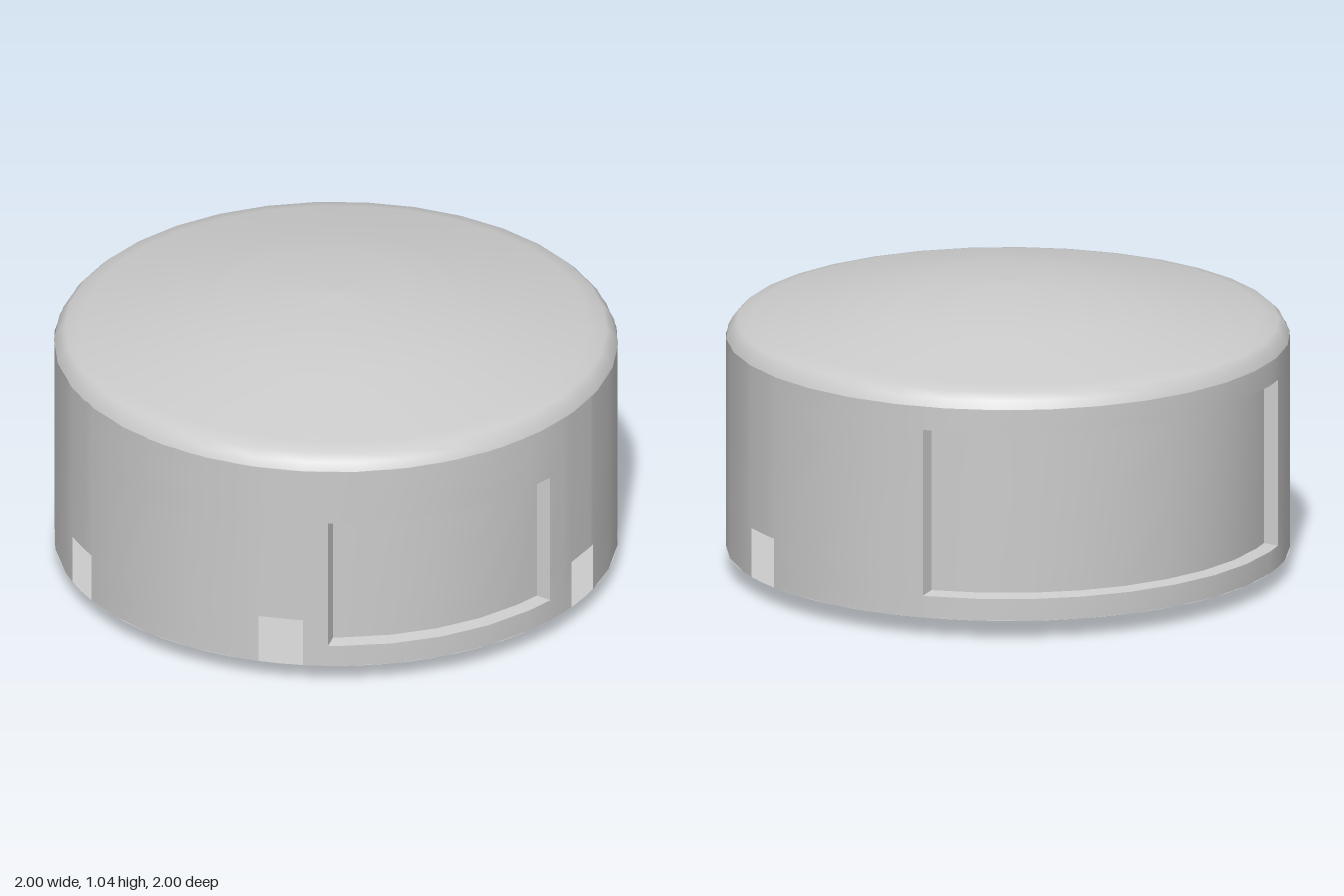
import * as THREE from 'three';
import { toCreasedNormals } from 'three/addons/utils/BufferGeometryUtils.js';

const RAD = Math.PI / 180;
const BASE = 0.07, RIM = 0.845, SEGMENTS = 34;

// Openings in the wall: angles in degrees around y, measured from the front towards +x
const frontRecess = { name: 'frontRecess', a0: -27.1, a1: 23.9, y0: 0.15, y1: 0.64 };
const backRecess = { name: 'backRecess', a0: 133.1, a1: 223.7, y0: 0.15, y1: 0.76 };
const notches = [-90, -36.8, 35.6, 90].map((a) => ({ a0: a - 4.6, a1: a + 4.6, y0: BASE, y1: 0.25 }));
const openings = [frontRecess, backRecess, ...notches];

const onWall = (deg, y, r = 1) => [r * Math.sin(deg * RAD), y, r * Math.cos(deg * RAD)];
const inside = (o, a, y) => a > o.a0 && a < o.a1 && y > o.y0 && y < o.y1;
const sorted = (list) => [...new Set(list)].sort((a, b) => a - b);

// Shared angular divisions, so that openings and wall meet exactly
const START = -120;
const angles = sorted([
  ...Array.from({ length: SEGMENTS + 1 }, (_, i) => START + (i * 360) / SEGMENTS),
  ...openings.flatMap((o) => [o.a0, o.a1]),
]);
const heights = sorted([BASE, RIM, ...openings.flatMap((o) => [o.y0, o.y1])]);

// Grid surface from point(i, j), leaving out cells for which skip(i, j) holds
function gridGeometry(nu, nv, point, skip = () => false) {
  const positions = [], index = [];
  for (let j = 0; j < nv; j++) for (let i = 0; i < nu; i++) positions.push(...point(i, j));
  for (let j = 0; j < nv - 1; j++) {
    for (let i = 0; i < nu - 1; i++) {
      if (skip(i, j)) continue;
      const a = j * nu + i, b = a + 1, c = b + nu, d = a + nu;
      index.push(a, b, c, a, c, d);
    }
  }
  const geometry = new THREE.BufferGeometry();
  geometry.setAttribute('position', new THREE.Float32BufferAttribute(positions, 3));
  geometry.setIndex(index);
  geometry.computeVertexNormals();
  return geometry;
}

// Thin cylindrical wall with holes for the recesses and notches
function wallGeometry() {
  return gridGeometry(
    angles.length, heights.length,
    (i, j) => onWall(angles[i], heights[j]),
    (i, j) => {
      const a = (angles[i] + angles[i + 1]) / 2, y = (heights[j] + heights[j + 1]) / 2;
      return openings.some((o) => inside(o, a, y));
    },
  );
}

// Curved panel set back from the wall, with slightly bevelled sides
function recessGeometry({ a0, a1, y0, y1 }) {
  const depth = 0.047, inset = 0.01;
  const cols = angles.filter((a) => a >= a0 && a <= a1);
  const us = [a0, ...cols, a1], vs = [y0, y0 + inset, y1 - inset, y1];
  const mid = (a0 + a1) / 2, shrink = 1 - 2 / (a1 - a0);
  const geometry = gridGeometry(us.length, vs.length, (i, j) => {
    const edgeRow = j === 0 || j === vs.length - 1;
    const edgeCol = i === 0 || i === us.length - 1;
    if (edgeRow) return onWall(us[i], vs[j]);
    if (edgeCol) return onWall(us[i], j === 1 ? y0 : y1);
    return onWall(mid + (us[i] - mid) * shrink, vs[j], 1 - depth);
  });
  return toCreasedNormals(geometry, 30 * RAD);
}

export function createModel() {
  const model = new THREE.Group();
  const material = new THREE.MeshStandardMaterial({ color: 0xcccccc, side: THREE.DoubleSide });
  const add = (name, geometry) => {
    const mesh = new THREE.Mesh(geometry, material);
    mesh.name = name;
    model.add(mesh);
    return mesh;
  };

  add('wall', wallGeometry());
  for (const recess of [frontRecess, backRecess]) add(recess.name, recessGeometry(recess));

  // Shallow domed lid with a rounded shoulder
  const profile = [
    [1, RIM], [0.985, 0.875], [0.96, 0.9], [0.9, 0.915], [0.78, 0.94],
    [0.54, 0.993], [0.36, 1.02], [0.18, 1.037], [0, 1.045],
  ].map(([r, y]) => new THREE.Vector2(r, y));
  add('lid', new THREE.LatheGeometry(profile, SEGMENTS));

  // Floor of the hollow body
  const floor = add('floor', new THREE.CircleGeometry(1, 68));
  floor.rotation.x = Math.PI / 2;
  floor.position.y = BASE;

  // Stepped foot under the floor, slightly off centre
  [[0.52, 0.05, 0.07], [0.465, 0.03, 0.05], [0.41, 0, 0.03]].forEach(([r, bottom, top], i) => {
    const step = add(`footStep${i + 1}`, new THREE.CylinderGeometry(r, r, top - bottom, 32));
    step.position.set(-0.01, (bottom + top) / 2 - 0.001 * (i === 0), -0.025);
  });

  return model;
}
